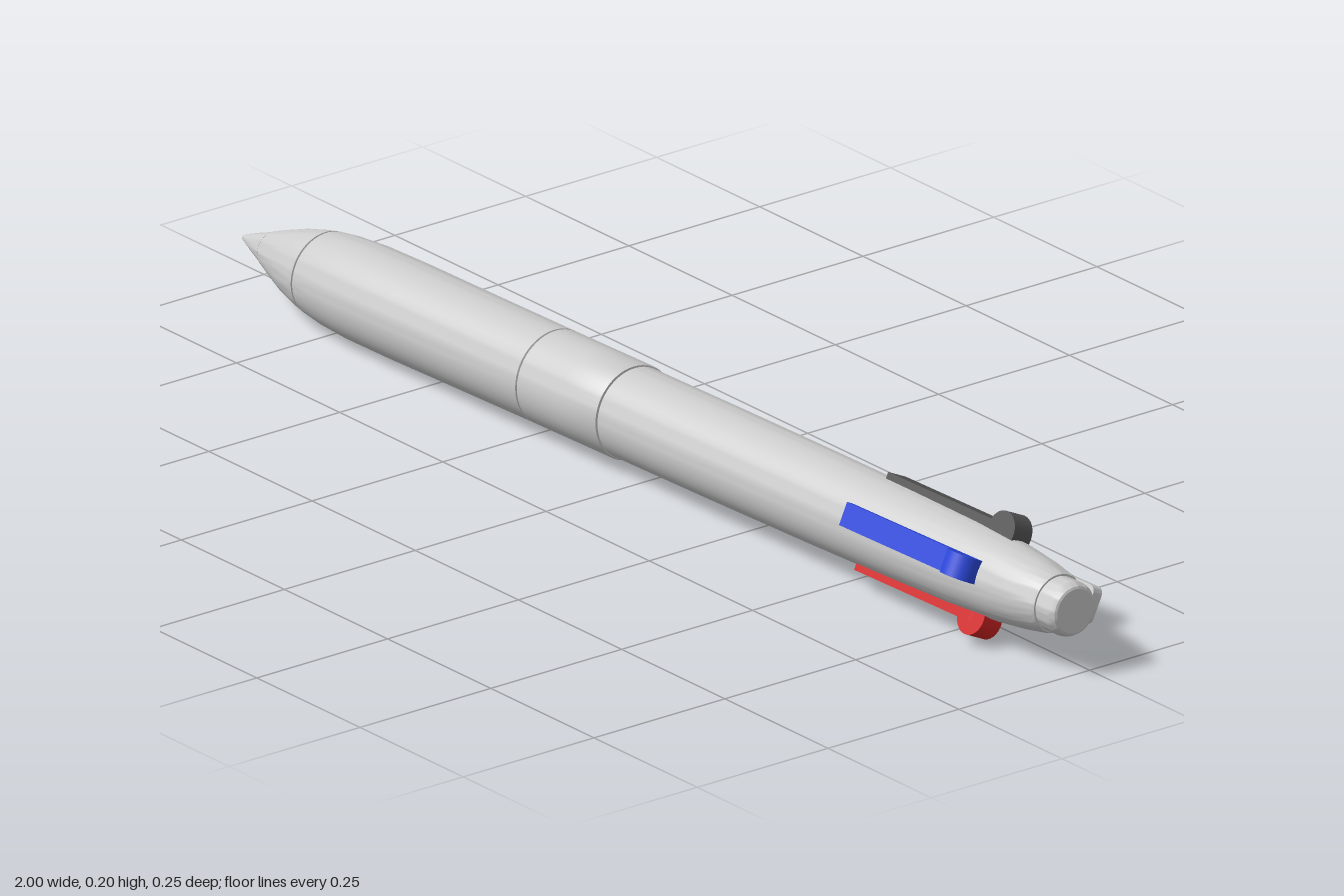
import * as THREE from 'three';
import { toCreasedNormals } from 'three/addons/utils/BufferGeometryUtils.js';

const makeMaterial = (name, color) => Object.assign(new THREE.MeshStandardMaterial({ color }), { name });

// Profile of [position along the pen, radius], turned about the x axis
function turned(name, profile, material) {
  const points = profile.map(([x, r]) => new THREE.Vector2(r, x));
  const geometry = new THREE.LatheGeometry(points, 64).rotateZ(-Math.PI / 2);
  const mesh = new THREE.Mesh(toCreasedNormals(geometry, 0.5), material);
  mesh.name = name;
  return mesh;
}

// Bar along x whose half width, underside and top follow functions of x
function bar(name, x0, x1, halfWidth, under, top, material) {
  const geometry = new THREE.BoxGeometry(2, 2, 2, 40, 1, 1);
  const p = geometry.attributes.position;
  for (let i = 0; i < p.count; i++) {
    const t = (1 - Math.cos((p.getX(i) + 1) * Math.PI / 2)) / 2;
    const x = x0 + (x1 - x0) * t;
    p.setXYZ(i, x, p.getY(i) > 0 ? top(x) : under(x), p.getZ(i) * halfWidth(x));
  }
  const mesh = new THREE.Mesh(toCreasedNormals(geometry, 0.5), material);
  mesh.name = name;
  return mesh;
}

// Half width of a bar with rounded ends of radius r0 and r1
const rounded = (x0, x1, w, r0, r1) => x => {
  const a = Math.max(0, 1 - (x - x0) / r0), b = Math.max(0, 1 - (x1 - x) / r1);
  const c = Math.max(a, b);
  return w - Math.min(w * 0.97, Math.min(r0, r1, w) * (1 - Math.sqrt(Math.max(0, 1 - c * c))));
};

export function createModel() {
  const grey = makeMaterial('light grey plastic', 0xcccccc);
  const black = makeMaterial('dark grey plastic', 0x555555);
  const blue = makeMaterial('blue plastic', 0x2c48dc);
  const red = makeMaterial('red plastic', 0xd42424);

  const pen = new THREE.Group();
  pen.name = 'pen';

  // Barrel sections from the tip to the end cap
  pen.add(
    turned('tipCone', [[-1, 0], [-0.998, 0.004], [-0.97, 0.0145], [-0.932, 0.0275], [-0.93, 0.02]], grey),
    turned('noseCone', [[-0.932, 0.02], [-0.93, 0.029], [-0.9, 0.040], [-0.86, 0.0535], [-0.82, 0.0635], [-0.802, 0.067], [-0.8, 0.06]], grey),
    turned('frontGrip', [[-0.8, 0.06], [-0.798, 0.0675], [-0.76, 0.0725], [-0.7, 0.0762], [-0.6, 0.077], [-0.45, 0.0762], [-0.252, 0.0755], [-0.25, 0.07]], grey),
    turned('middleRing', [[-0.25, 0.07], [-0.248, 0.0755], [-0.15, 0.0755], [-0.064, 0.0755], [-0.061, 0.074], [-0.061, 0.065]], grey),
    turned('rearBarrel', [[-0.063, 0.068], [-0.058, 0.0725], [0.15, 0.0725], [0.4, 0.0715], [0.6, 0.0695],
      [0.75, 0.067], [0.85, 0.062], [0.91, 0.0555], [0.95, 0.049], [0.958, 0.046], [0.958, 0.03]], grey),
    turned('endCap', [[0.95, 0.043], [0.985, 0.0435], [0.992, 0.042], [0.998, 0.0385], [1, 0.035], [1, 0]], grey)
  );

  // Three colour sliders, a quarter turn apart
  [['blackSlider', black, 0], ['blueSlider', blue, Math.PI / 2], ['redSlider', red, Math.PI]].forEach(([name, material, angle]) => {
    const slider = new THREE.Group();
    slider.name = name;
    slider.add(bar('sliderBar', 0.53, 0.81, rounded(0.53, 0.81, 0.0185, 0.0185, 0.0001), () => 0.055, () => 0.078, material));
    const knob = new THREE.Mesh(new THREE.CylinderGeometry(0.03, 0.03, 0.037, 32).rotateX(Math.PI / 2), material);
    knob.name = 'sliderKnob';
    knob.position.set(0.806, 0.068, 0);
    slider.add(knob);
    slider.rotation.x = angle;
    pen.add(slider);
  });

  // Pocket clip opposite the blue slider
  const clip = new THREE.Group();
  clip.name = 'clip';
  const top = x => 0.157 - 0.036 * Math.pow((0.875 - x) / 0.53, 1.5);
  const bump = x => 0.016 * Math.exp(-Math.pow((x - 0.38) / 0.035, 2));
  const width = rounded(0.345, 0.875, 0.0295, 0.03, 0.012);
  clip.add(
    bar('clipArm', 0.345, 0.875, width, x => top(x) - 0.018 - bump(x), top, grey),
    bar('clipPost', 0.78, 0.83, () => 0.0125, () => 0.06, () => 0.145, grey),
    bar('clipBrace', 0.72, 0.80, () => 0.006, () => 0.06, x => 0.08 + 0.03 * Math.max(0, (x - 0.74) / 0.06), grey),
    bar('clipBase', 0.72, 0.845, () => 0.011, () => 0.055, () => 0.077, grey)
  );
  clip.rotation.x = -Math.PI / 2;
  pen.add(clip);

  // Roll the pen, then tilt it slightly as it rests on the ground
  pen.rotation.x = -0.445;
  const tilt = new THREE.Group();
  tilt.name = 'restingPen';
  tilt.add(pen);
  tilt.rotation.set(0, 0.0065, 0.0155);
  tilt.position.set(0, 0.091, 0.0335);
  const model = new THREE.Group();
  model.name = 'ballpointPen';
  model.add(tilt);
  return model;
}
